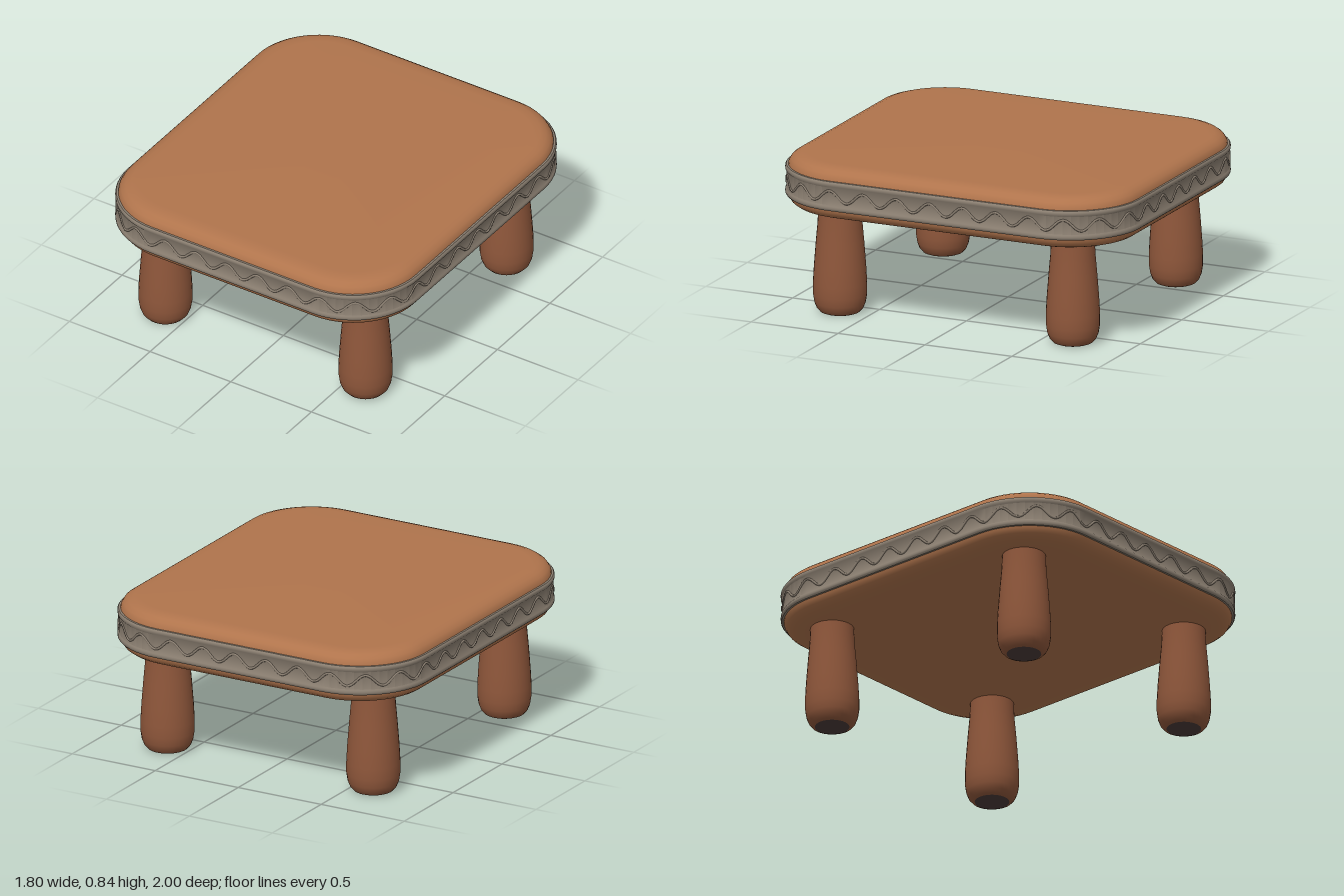
import * as THREE from 'three';
import { toCreasedNormals } from 'three/addons/utils/BufferGeometryUtils.js';

const HALF_X = 0.9, HALF_Z = 1.0, CORNER = 0.4, STEPS = 14;

const mat = (name, color) => {
  const m = new THREE.MeshStandardMaterial({ color });
  m.name = name;
  return m;
};

// Rounded rectangle in the x-z plane, shrunk by an inset
function outline(inset) {
  const pts = [];
  const cx = HALF_X - CORNER, cz = HALF_Z - CORNER, r = CORNER - inset;
  [[1, 1], [-1, 1], [-1, -1], [1, -1]].forEach(([sx, sz], q) => {
    for (let i = 0; i <= STEPS; i++) {
      const a = (q + i / STEPS) * Math.PI / 2;
      pts.push(new THREE.Vector2(sx * cx + r * Math.cos(a), sz * cz + r * Math.sin(a)));
    }
  });
  return pts;
}

// Sweeps an upward [inset, y] profile round the outline, with optional caps
function sweep(profile, capped) {
  const pos = [], idx = [];
  const n = outline(0).length;
  for (const [inset, y] of profile) {
    for (const p of outline(inset)) pos.push(p.x, y, p.y);
  }
  for (let i = 0; i < profile.length - 1; i++) {
    for (let j = 0; j < n; j++) {
      const a = i * n + j, b = i * n + (j + 1) % n;
      idx.push(a, a + n, b, b, a + n, b + n);
    }
  }
  if (capped) {
    const last = profile.length - 1, c = profile.length * n;
    pos.push(0, profile[0][1], 0, 0, profile[last][1], 0);
    for (let j = 0; j < n; j++) {
      const k = (j + 1) % n;
      idx.push(c, j, k, c + 1, last * n + k, last * n + j);
    }
  }
  const g = new THREE.BufferGeometry();
  g.setAttribute('position', new THREE.Float32BufferAttribute(pos, 3));
  g.setIndex(idx);
  return toCreasedNormals(g, 0.7);
}

export function createModel() {
  const group = new THREE.Group();
  const wood = mat('warm wood', 0xb0744c);
  const legWood = mat('red brown wood', 0x8f573b);
  const stone = mat('grey carved band', 0x8c8072);
  const dark = mat('dark foot', 0x4a3b38);

  const add = (name, geometry, material, parent = group) => {
    const m = new THREE.Mesh(geometry, material);
    m.name = name;
    parent.add(m);
    return m;
  };

  // Table top with softly rounded upper and lower edges
  add('tableTop', sweep([
    [0.13, 0.56], [0.085, 0.562], [0.055, 0.572], [0.032, 0.588], [0.018, 0.61], [0.014, 0.64],
    [0.014, 0.76], [0.018, 0.79], [0.032, 0.812], [0.055, 0.828], [0.085, 0.838], [0.13, 0.84],
  ], true), wood);

  // Band with a raised rail along each edge
  add('band', sweep([
    [0.03, 0.62], [0.006, 0.621], [0.001, 0.627], [0, 0.635], [0.001, 0.646], [0.006, 0.652],
    [0.006, 0.748], [0.001, 0.754], [0, 0.765], [0.001, 0.773], [0.006, 0.779], [0.03, 0.78],
  ], false), stone);

  // Carved wave running round the band
  const loop = outline(0.007);
  const path = new THREE.Path([...loop, loop[0]]);
  const waves = 36, perWave = 8, count = waves * perWave;
  const wavePts = path.getSpacedPoints(count).slice(0, count).map((p, i) =>
    new THREE.Vector3(p.x, 0.7 + 0.03 * Math.cos(i / perWave * Math.PI * 2), p.y));
  const curve = new THREE.CatmullRomCurve3(wavePts, true);
  add('carvedWave', new THREE.TubeGeometry(curve, count * 3, 0.007, 6, true), stone);

  // Tapered legs, fuller towards the foot
  const profile = [
    [0.09, 0], [0.105, 0.006], [0.122, 0.025], [0.134, 0.055], [0.141, 0.1],
    [0.141, 0.16], [0.136, 0.25], [0.126, 0.38], [0.117, 0.48], [0.113, 0.58],
  ].map(([r, y]) => new THREE.Vector2(r, y));
  const legGeo = new THREE.LatheGeometry(profile, 32);
  const footGeo = new THREE.CircleGeometry(0.09, 32).rotateX(Math.PI / 2);
  for (const sx of [-1, 1]) {
    for (const sz of [-1, 1]) {
      const leg = new THREE.Group();
      leg.name = (sz > 0 ? 'front' : 'back') + (sx > 0 ? 'Left' : 'Right') + 'Leg';
      leg.position.set(sx * 0.62, 0, sz * 0.67);
      add('legShaft', legGeo, legWood, leg);
      add('legFoot', footGeo, dark, leg);
      group.add(leg);
    }
  }
  return group;
}
